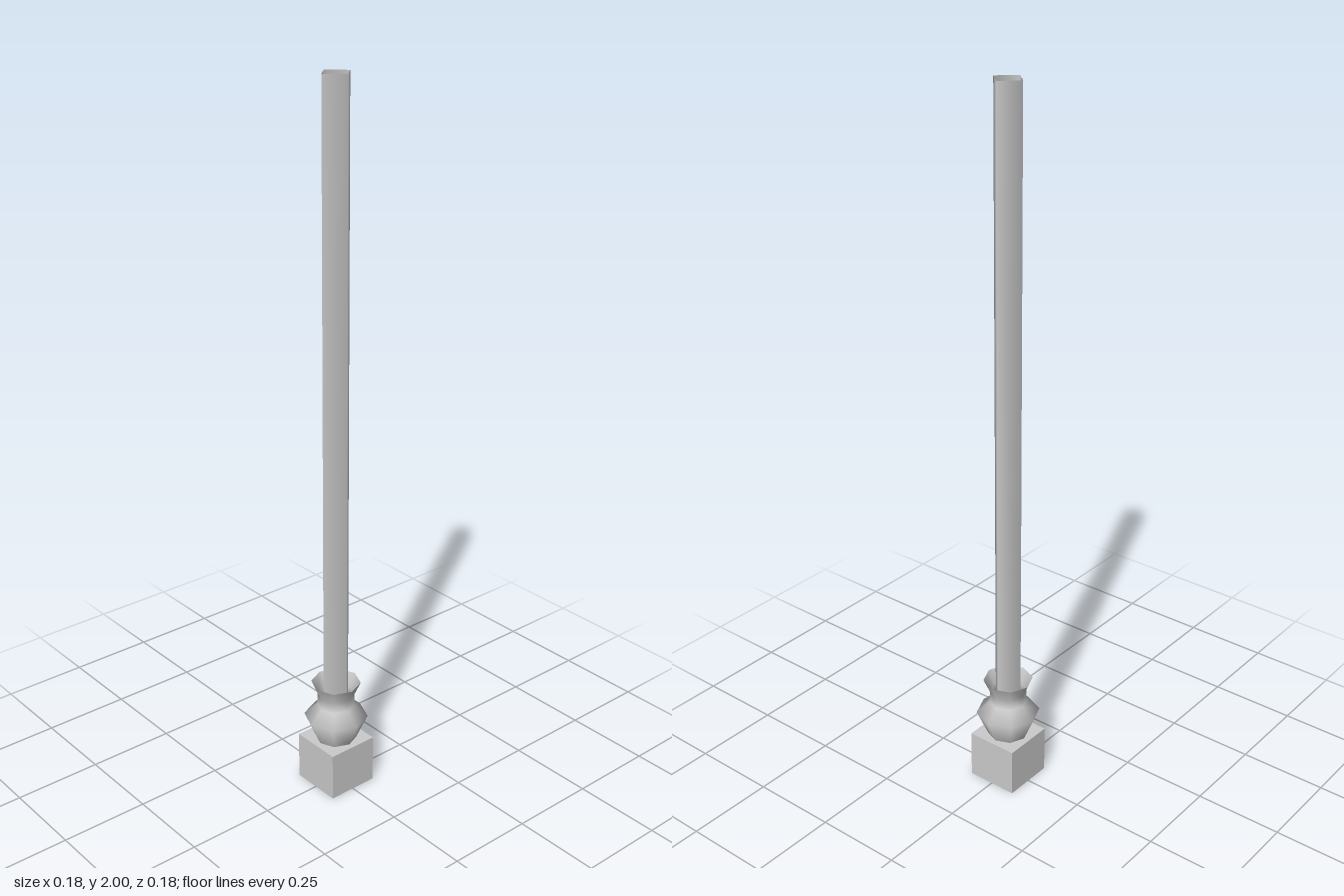
import * as THREE from 'three';

const material = new THREE.MeshStandardMaterial({ color: 0xcccccc, side: THREE.DoubleSide });

// Open surface of revolution from [radius, height] pairs
function turned(name, profile, sides) {
  const points = profile.map(([r, y]) => new THREE.Vector2(r, y));
  const mesh = new THREE.Mesh(new THREE.LatheGeometry(points, sides), material);
  mesh.name = name;
  return mesh;
}

export function createModel() {
  const group = new THREE.Group();
  group.name = 'post';

  // Square foot block
  const base = new THREE.Mesh(new THREE.BoxGeometry(0.15, 0.14, 0.15), material);
  base.name = 'base';
  base.position.y = 0.07;
  group.add(base);

  // Eight-sided collar: belly, neck and flared open rim
  group.add(turned('collar', [[0.058, 0.14], [0.09, 0.212], [0.052, 0.247], [0.052, 0.28], [0.07, 0.32]], 8));

  // Four-sided open shaft, corners on the axes
  group.add(turned('shaft', [[0.045, 0.14], [0.045, 2]], 4));

  return group;
}
